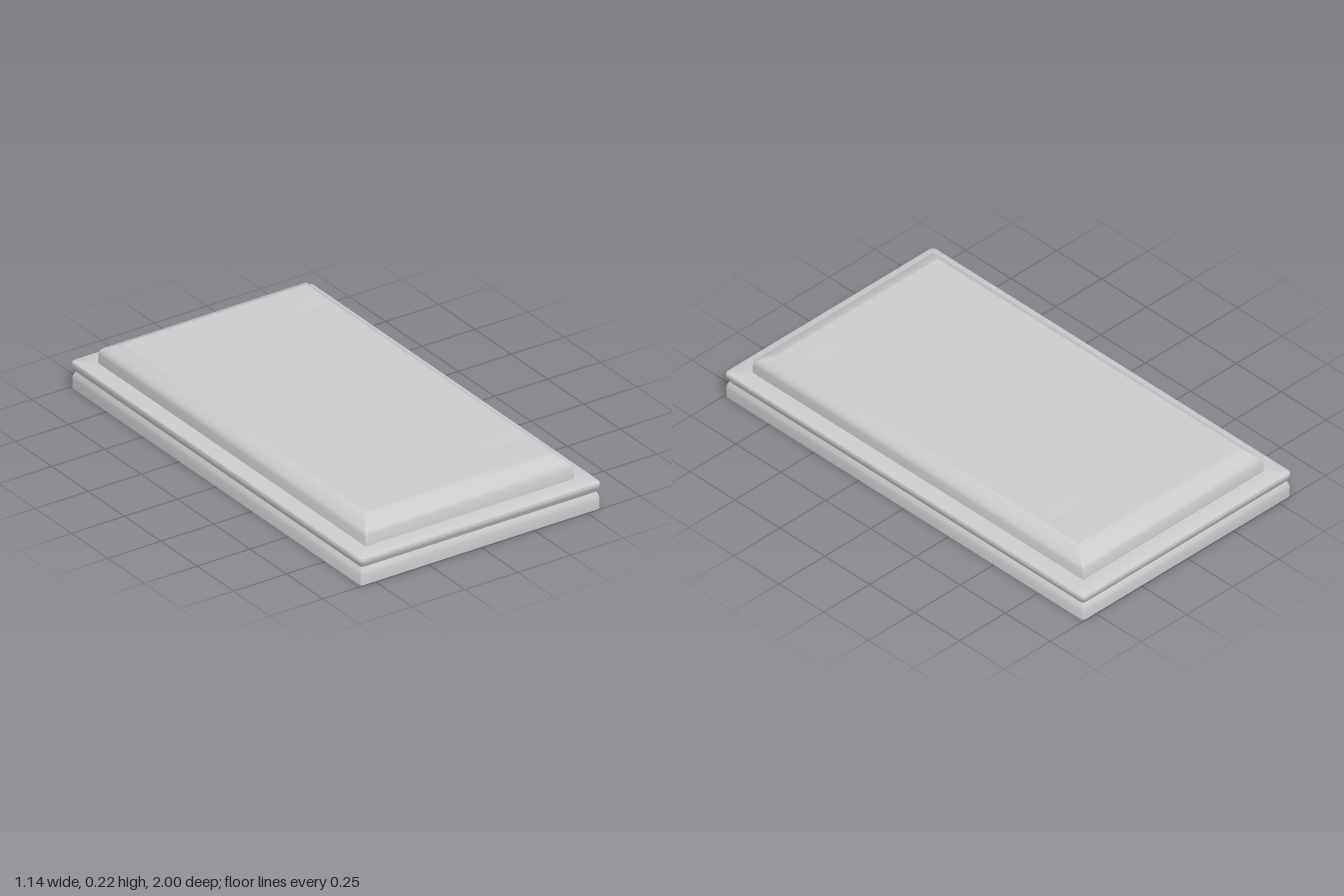
import * as THREE from 'three';
import { toCreasedNormals } from 'three/addons/utils/BufferGeometryUtils.js';

const material = new THREE.MeshStandardMaterial({ color: 0xcccccc, side: THREE.DoubleSide });
const CORNER_STEPS = 4;

// Rounded rectangle, counter-clockwise seen from above
function ring([hw, hd, y, r]) {
  const points = [];
  for (let q = 0; q < 4; q++) {
    const sx = q === 0 || q === 3 ? 1 : -1;
    const sz = q < 2 ? -1 : 1;
    for (let i = 0; i <= CORNER_STEPS; i++) {
      const a = (q + i / CORNER_STEPS) * Math.PI / 2;
      points.push([sx * (hw - r) + r * Math.cos(a), y, sz * (hd - r) - r * Math.sin(a)]);
    }
  }
  return points;
}

// Open shell through rings of [halfWidth, halfDepth, height, cornerRadius]
function loft(name, profile, crease) {
  const rings = profile.map(ring);
  const n = rings[0].length;
  const index = [];
  for (let j = 0; j < rings.length - 1; j++) {
    for (let i = 0; i < n; i++) {
      const a = j * n + i, b = j * n + (i + 1) % n;
      index.push(a, b, b + n, a, b + n, a + n);
    }
  }
  const geometry = new THREE.BufferGeometry();
  geometry.setAttribute('position', new THREE.Float32BufferAttribute(rings.flat(2), 3));
  geometry.setIndex(index);
  const mesh = new THREE.Mesh(toCreasedNormals(geometry, crease), material);
  mesh.name = name;
  return mesh;
}

// Flat top with two faint worn dents
function topSurface(hw, hd, y) {
  const geometry = new THREE.PlaneGeometry(hw * 2, hd * 2, 40, 80).rotateX(-Math.PI / 2);
  const dents = [[0.34, -0.66], [0.31, 0.69]];
  const p = geometry.attributes.position;
  for (let i = 0; i < p.count; i++) {
    let h = y;
    for (const [x, z] of dents) {
      const dx = (p.getX(i) - x) / 0.06, dz = (p.getZ(i) - z) / 0.03;
      h -= 0.004 * Math.exp(-dx * dx - dz * dz);
    }
    p.setY(i, h);
  }
  geometry.computeVertexNormals();
  const mesh = new THREE.Mesh(geometry, material);
  mesh.name = 'panelTop';
  return mesh;
}

export function createModel() {
  const model = new THREE.Group();
  model.name = 'steppedSlab';

  // Hollow plinth: straight foot, shallow groove, rounded lip, flat ledge
  model.add(loft('plinth', [
    [0.567, 0.997, 0, 0.015],
    [0.568, 0.998, 0.045, 0.015],
    [0.565, 0.995, 0.058, 0.015],
    [0.557, 0.987, 0.074, 0.015],
    [0.561, 0.991, 0.084, 0.015],
    [0.569, 0.999, 0.097, 0.018],
    [0.57, 1, 0.108, 0.018],
    [0.568, 0.998, 0.116, 0.018],
    [0.562, 0.992, 0.12, 0.015],
    [0.494, 0.922, 0.12, 0.005],
  ], 0.75));

  // Raised panel: near-vertical wall, then a bevel up to the top
  model.add(loft('raisedPanel', [
    [0.494, 0.922, 0.12, 0.005],
    [0.493, 0.92, 0.165, 0.006],
    [0.489, 0.914, 0.178, 0.008],
    [0.478, 0.9, 0.19, 0.01],
    [0.45, 0.855, 0.212, 0.01],
    [0.436, 0.838, 0.219, 0.004],
  ], 0.6));
  model.add(topSurface(0.436, 0.838, 0.219));

  return model;
}
